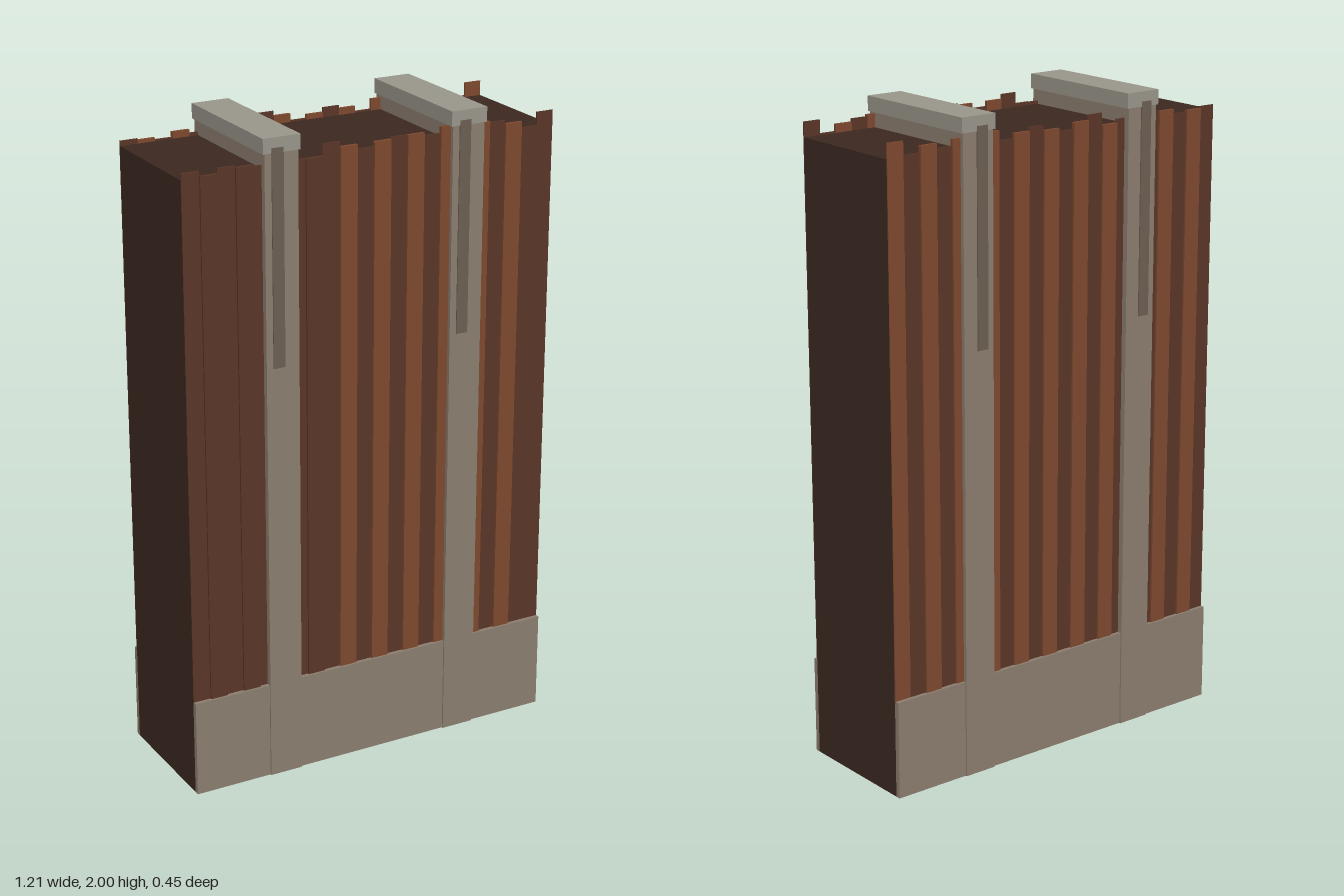
import * as THREE from 'three';

const mat = (color) => new THREE.MeshStandardMaterial({ color, flatShading: true });

export function createModel() {
  const model = new THREE.Group();
  const stone = mat(0x8b7d6f), capStone = mat(0x99958a), slotStone = mat(0x6b5f53);
  const coreWood = mat(0x3c2820), darkWood = mat(0x5a3527), lightWood = mat(0x7d482e);

  // Box given by its lower and upper limits on each axis
  const box = (name, material, x0, x1, y0, y1, z0, z1) => {
    const mesh = new THREE.Mesh(new THREE.BoxGeometry(x1 - x0, y1 - y0, z1 - z0), material);
    mesh.position.set((x0 + x1) / 2, (y0 + y1) / 2, (z0 + z1) / 2);
    mesh.name = name;
    model.add(mesh);
  };

  // Solid wall core
  const half = 0.605;
  box('core', coreWood, -half, half, 0, 1.91, -0.2, 0.2);

  // Planks of uneven height on both faces, every second one standing proud
  const count = 22, width = (2 * half) / count;
  const frontTops = [1.93, 1.915, 1.93, 1.925, 1.92, 1.93, 1.92, 1.92, 1.955, 1.94, 1.925,
    1.94, 1.945, 1.945, 1.935, 1.955, 1.93, 1.95, 1.945, 1.935, 1.915, 1.955];
  const backTops = [1.925, 1.92, 1.915, 1.93, 1.92, 1.93, 1.925, 1.915, 1.95, 1.935, 1.915,
    1.925, 1.94, 1.93, 1.915, 1.945, 1.925, 1.94, 1.92, 1.935, 1.915, 1.955];
  for (const side of [1, -1]) {
    const tops = side > 0 ? frontTops : backTops;
    for (let i = 0; i < count; i++) {
      const odd = i % 2 === 1;
      const proud = odd && i < count - 1;
      const light = odd && (side < 0 || (i > 8 && proud));
      const inner = side * 0.198, outer = side * (proud ? 0.209 : 0.203);
      const x = -half + i * width;
      box(side > 0 ? 'frontPlank' : 'backPlank', light ? lightWood : darkWood,
        x, x + width, 0.3, tops[i], Math.min(inner, outer), Math.max(inner, outer));
    }
    // Stone footing along each face
    const a = side * 0.2, b = side * 0.216;
    box(side > 0 ? 'frontFooting' : 'backFooting', stone,
      -half, half, 0, 0.305, Math.min(a, b), Math.max(a, b));
  }

  // Stone piers running through the wall, each with a cap and a dark strip per face
  for (const x of [-0.305, 0.305]) {
    box('pier', stone, x - 0.053, x + 0.053, 0, 1.99, -0.221, 0.221);
    box('pierCap', capStone, x - 0.059, x + 0.059, 1.955, 2, -0.224, 0.224);
    const s = x - 0.013;
    box('frontStrip', slotStone, s - 0.0185, s + 0.0185, 1.32, 1.97, 0.22, 0.2248);
    box('backStrip', slotStone, s - 0.0185, s + 0.0185, 1.32, 1.97, -0.2248, -0.22);
  }
  return model;
}
